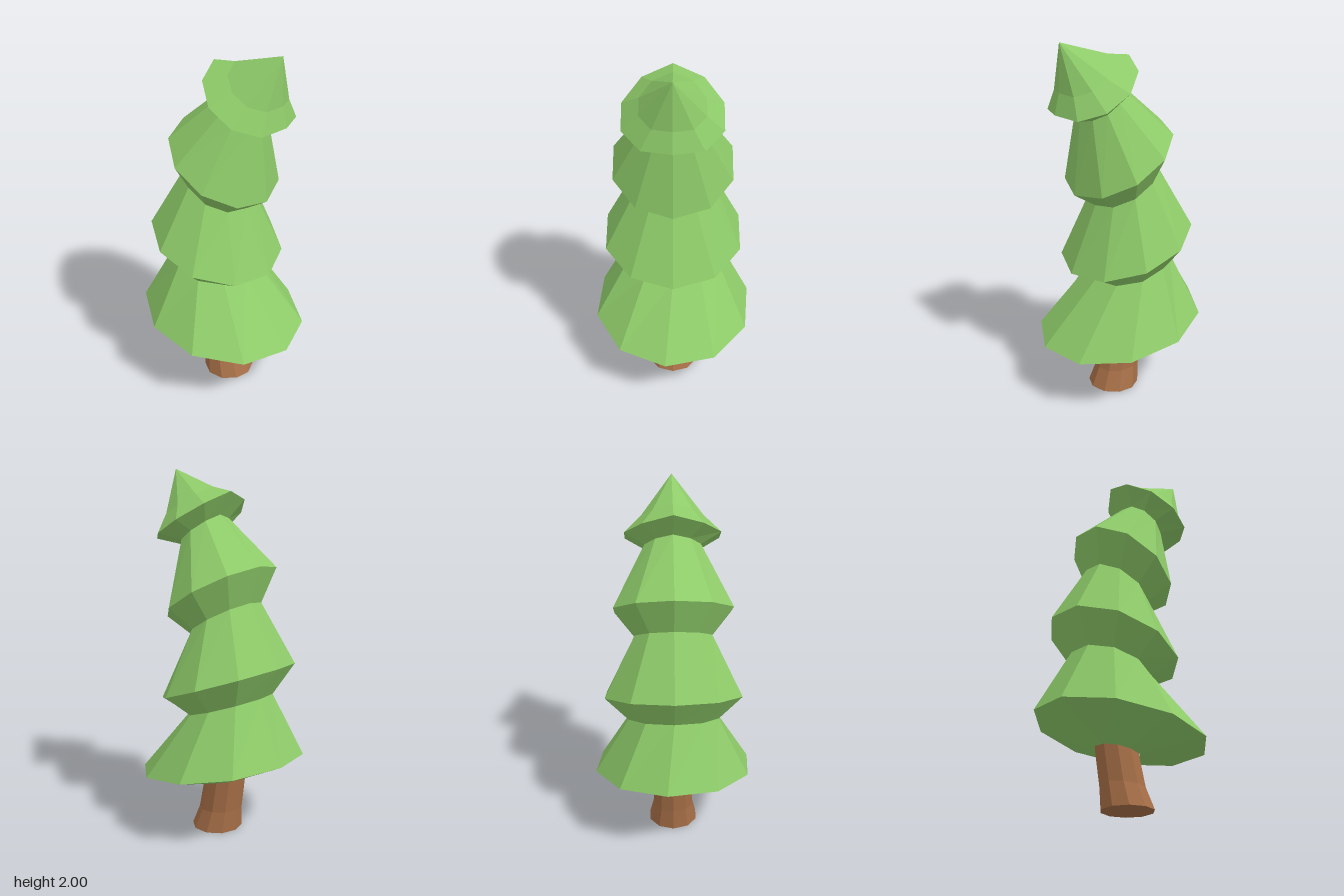
import * as THREE from 'three';

const SIDES = 10;

// Tilted ring from its left end (xl, yl) to its right end (xr, yr), half depth hz
function ring(xl, yl, xr, yr, hz, phase = 0, sag = 0) {
  return Array.from({ length: SIDES }, (_, j) => {
    const a = phase + (j / SIDES) * Math.PI * 2;
    const t = (1 + Math.cos(a)) / 2;
    return new THREE.Vector3(
      THREE.MathUtils.lerp(xl, xr, t),
      THREE.MathUtils.lerp(yl, yr, t) - sag * Math.abs(Math.sin(a)),
      hz * Math.sin(a)
    );
  });
}

const point = (x, y) => ring(x, y, x, y, 0);

// Flat-shaded skin through rings listed from bottom to top
function loft(name, rings, material) {
  const pts = [];
  for (let i = 0; i < rings.length - 1; i++) {
    for (let j = 0; j < SIDES; j++) {
      const k = (j + 1) % SIDES;
      const [a, b, c, d] = [rings[i][j], rings[i][k], rings[i + 1][j], rings[i + 1][k]];
      for (const tri of [[a, c, b], [b, c, d]]) {
        const area = new THREE.Triangle(...tri).getArea();
        if (area > 1e-7) pts.push(...tri);
      }
    }
  }
  const geometry = new THREE.BufferGeometry().setFromPoints(pts);
  geometry.computeVertexNormals();
  const mesh = new THREE.Mesh(geometry, material);
  mesh.name = name;
  return mesh;
}

export function createModel() {
  const tree = new THREE.Group();
  tree.name = 'leaningPineTree';
  const leaf = new THREE.MeshStandardMaterial({ color: 0x8ecb69, flatShading: true });
  const bark = new THREE.MeshStandardMaterial({ color: 0xa87048, flatShading: true });

  // Trunk, flared at the foot
  tree.add(loft('trunk', [
    point(0.035, 0),
    ring(-0.105, 0, 0.175, 0, 0.143),
    ring(-0.115, 0.13, 0.13, 0.11, 0.118),
    ring(-0.142, 0.33, 0.092, 0.285, 0.115),
    point(-0.025, 0.33),
  ], bark));

  // Narrow necks where one tier meets the next
  const necks = [
    ring(-0.14, 0.32, 0.1, 0.275, 0.115, 0.09),
    ring(-0.28, 0.82, 0.15, 0.675, 0.26),
    ring(-0.205, 1.33, 0.145, 1.115, 0.215),
    ring(0.01, 1.775, 0.23, 1.605, 0.155, 0, 0.02),
  ];

  // Wide drooping rims
  const rims = [
    ring(-0.463, 0.49, 0.457, 0.325, 0.45, 0.09, 0.01),
    ring(-0.395, 1.005, 0.3, 0.75, 0.39),
    ring(-0.27, 1.53, 0.272, 1.195, 0.33),
    ring(-0.065, 1.9, 0.375, 1.64, 0.265, 0, 0.05),
  ];

  // Three lower tiers
  ['bottomTier', 'lowerMiddleTier', 'upperMiddleTier'].forEach((name, i) => {
    tree.add(loft(name, [necks[i], rims[i], necks[i + 1]], leaf));
  });

  // Top tier: slightly hollow cone bent towards its tip
  const tip = new THREE.Vector3(0.34, 2, 0);
  const axis = new THREE.Vector3(0.2, 1.82, 0);
  const waist = rims[3].map((p) => p.clone().lerp(tip, 0.28).lerp(axis, 0.1));
  tree.add(loft('topTier', [necks[3], rims[3], waist, point(tip.x, tip.y)], leaf));

  return tree;
}
